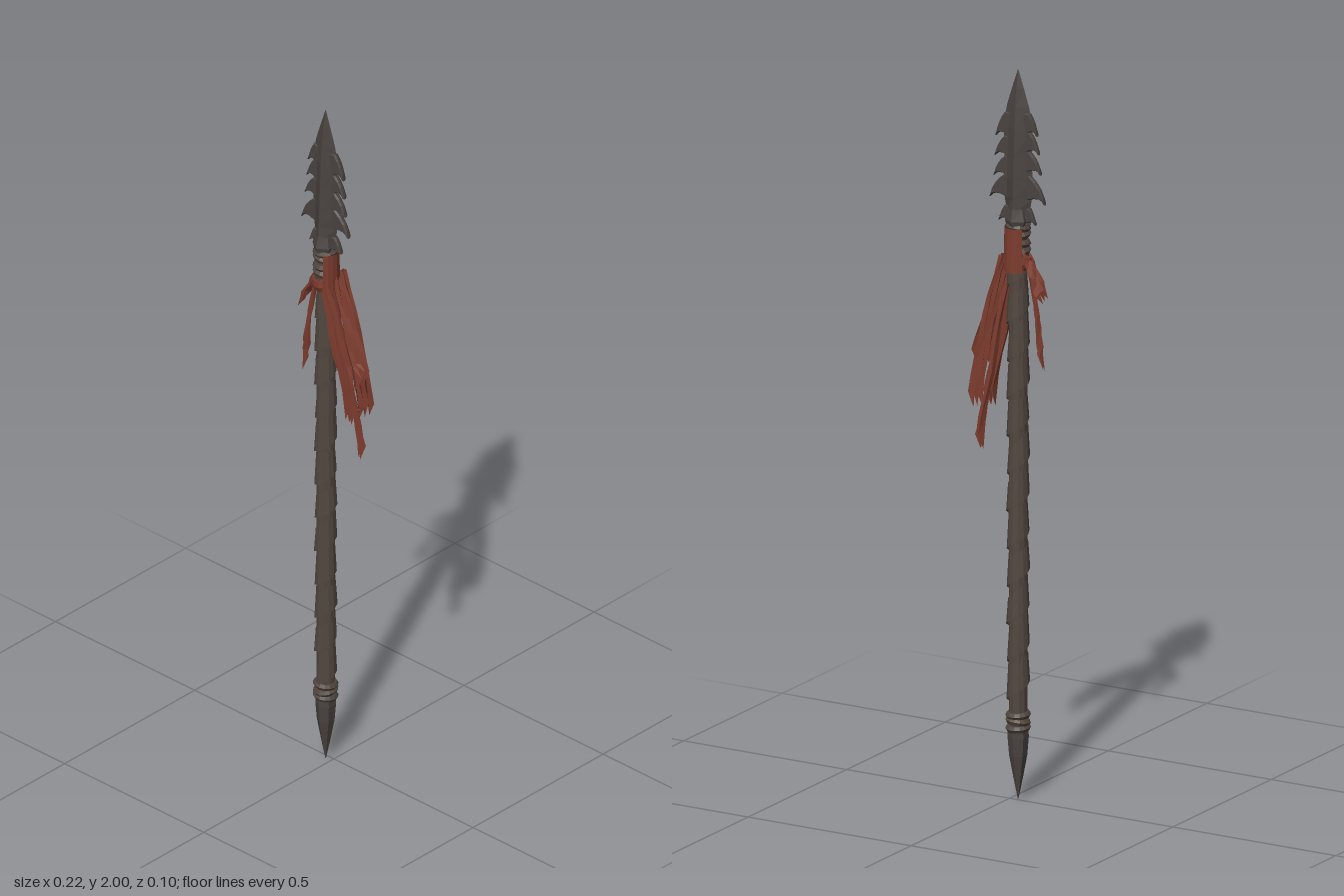
import * as THREE from 'three';

const mat = (name, color, extra = {}) =>
  Object.assign(new THREE.MeshStandardMaterial({ color, flatShading: true, ...extra }), { name });

export function createModel() {
  const root = new THREE.Group();
  root.name = 'barbedSpear';
  const iron = mat('dark iron', 0x4a4340);
  const leather = mat('worn leather', 0x51463f, { side: THREE.DoubleSide });
  const cloth = mat('red cloth', 0x7c3b2d, { side: THREE.DoubleSide });

  // Everything rigid sits on the shaft axis
  const spear = new THREE.Group();
  spear.name = 'spear';
  spear.position.set(-0.02, 0, 0.01);
  root.add(spear);

  const add = (parent, name, geo, material, y = 0) => {
    const m = new THREE.Mesh(geo, material);
    m.name = name;
    m.position.y = y;
    parent.add(m);
    return m;
  };

  // Sides swept through rows of [y, half width, half thickness], top row first
  const loft = (rows, sides) => {
    const n = rows.length - 1;
    const g = new THREE.CylinderGeometry(1, 1, 1, sides, n);
    const p = g.attributes.position;
    for (let i = 0; i < p.count; i++) {
      const [y, w, t] = rows[Math.round((0.5 - p.getY(i)) * n)];
      p.setXYZ(i, p.getX(i) * w, y, p.getZ(i) * t);
    }
    g.computeVertexNormals();
    return g;
  };

  // Blade: diamond section with a raised centre ridge
  add(spear, 'blade', loft([
    [2.0, 0.001, 0.001], [1.95, 0.018, 0.009], [1.9, 0.034, 0.014], [1.84, 0.045, 0.019],
    [1.77, 0.042, 0.022], [1.7, 0.044, 0.025], [1.65, 0.042, 0.027], [1.61, 0.035, 0.03], [1.58, 0.04, 0.033],
  ], 4), iron);
  add(spear, 'bladeSocket', loft([
    [1.69, 0.008, 0.022], [1.62, 0.025, 0.03], [1.59, 0.034, 0.038], [1.575, 0.03, 0.034],
  ], 6), iron);

  // Hooked barbs, slightly uneven from side to side: [tip x, tip y, root height]
  const barb = (side, tx, ty, h) => {
    const s = new THREE.Shape();
    s.moveTo(side * 0.018, ty + h);
    s.lineTo(side * 0.038, ty + h);
    s.quadraticCurveTo(side * (tx - 0.006), ty + h * 0.6, side * tx, ty);
    s.quadraticCurveTo(side * (tx - 0.014), ty + h * 0.32, side * 0.034, ty + h * 0.1);
    s.lineTo(side * 0.018, ty);
    const g = new THREE.ExtrudeGeometry(s, {
      depth: 0.006, curveSegments: 4, bevelEnabled: true,
      bevelThickness: 0.005, bevelSize: 0.003, bevelOffset: -0.003, bevelSegments: 1,
    });
    return g.translate(0, 0, -0.003);
  };
  const barbs = {
    left: [[0.067, 1.81, 0.07], [0.07, 1.755, 0.06], [0.073, 1.7, 0.06], [0.085, 1.64, 0.07], [0.058, 1.58, 0.045]],
    right: [[0.06, 1.825, 0.06], [0.065, 1.775, 0.06], [0.071, 1.72, 0.06], [0.083, 1.64, 0.075], [0.055, 1.58, 0.045]],
  };
  for (const [k, list] of Object.entries(barbs))
    list.forEach((b, i) => add(spear, `${k}Barb${i + 1}`, barb(k === 'left' ? 1 : -1, ...b), iron));

  // Shaft core with an overlapping spiral wrap
  add(spear, 'shaft', new THREE.CylinderGeometry(0.025, 0.025, 1.4, 10), leather, 0.89);
  const turns = 12, y0 = 0.24, pitch = 0.103;
  const wrap = new THREE.PlaneGeometry(1, 1, turns * 12, 2);
  const wp = wrap.attributes.position;
  for (let i = 0; i < wp.count; i++) {
    const u = wp.getX(i) + 0.5, v = wp.getY(i) + 0.5;
    const a = u * turns * Math.PI * 2;
    const r = 0.0305 - 0.005 * v + 0.0012 * Math.sin(a * 1.37);
    const y = y0 + u * turns * pitch + v * (0.085 + 0.015 * Math.sin(a * 0.73));
    wp.setXYZ(i, Math.sin(a) * r, y, Math.cos(a) * r);
  }
  wrap.computeVertexNormals();
  add(spear, 'spiralWrap', wrap, leather);

  // Bound rings at the neck and above the butt
  const ring = (name, y, r, tube, tilt) => {
    const m = add(spear, name, new THREE.TorusGeometry(r, tube, 6, 14).rotateX(Math.PI / 2), leather, y);
    m.rotation.set(tilt, 0, tilt * 0.7);
  };
  [1.505, 1.528, 1.55, 1.57].forEach((y, i) => ring(`neckRing${i + 1}`, y, 0.024, 0.011, i % 2 ? 0.1 : -0.12));
  [0.196, 0.214, 0.232].forEach((y, i) => ring(`buttRing${i + 1}`, y, 0.024, 0.01, i % 2 ? 0.12 : -0.06));

  // Pointed butt
  add(spear, 'buttSpike', loft([
    [0.21, 0.027, 0.027], [0.17, 0.028, 0.028], [0.12, 0.024, 0.024], [0.06, 0.013, 0.013], [0, 0.001, 0.001],
  ], 6), iron);

  // Cloth knot: a slanted band and a tall fold round the back
  const band = add(spear, 'clothBand', new THREE.TorusGeometry(0.028, 0.01, 6, 14).rotateX(Math.PI / 2).scale(1, 2, 1), cloth, 1.475);
  band.rotation.set(0.15, 0, 0.15);
  add(spear, 'clothFold', new THREE.CylinderGeometry(0.036, 0.039, 0.12, 9, 2, true, 0.55, 3.4), cloth, 1.51);

  // Pleated strip along a curve, flaring from w0 to w1, with a torn end
  const strip = (name, pts, w0, w1, angle, tear) => {
    const cols = 6, rows = 7;
    const curve = new THREE.CatmullRomCurve3(pts.map((p) => new THREE.Vector3(...p)));
    const g = new THREE.PlaneGeometry(1, 1, cols, rows);
    const p = g.attributes.position;
    const c = Math.cos(angle), s = Math.sin(angle);
    for (let i = 0; i < p.count; i++) {
      const col = i % (cols + 1), row = Math.floor(i / (cols + 1)), t = row / rows;
      const o = curve.getPoint(t);
      const across = (col / cols - 0.5) * (w0 + (w1 - w0) * t);
      const fold = (col % 2 ? 1 : -1) * (0.003 + 0.004 * t) + 0.003 * Math.sin(row * 1.9 + col);
      const rag = row === rows ? tear * (col % 2 ? 0.9 : -0.5 + 0.3 * Math.sin(col * 2.3)) : 0;
      p.setXYZ(i, o.x + c * across - s * fold, o.y - rag, o.z + s * across + c * fold);
    }
    g.computeVertexNormals();
    add(root, name, g, cloth);
  };
  strip('leftFrontStrip', [[0, 1.5, 0.035], [0.04, 1.38, 0.037], [0.09, 1.2, 0.032]], 0.03, 0.045, 1.0, 0.03);
  strip('leftSideStrip', [[0.012, 1.5, 0], [0.055, 1.36, 0.002], [0.098, 1.21, 0]], 0.045, 0.06, 1.45, 0.03);
  strip('leftBackStrip', [[0, 1.5, -0.02], [0.05, 1.3, -0.028], [0.083, 1.1, -0.033]], 0.04, 0.045, 2.0, 0.03);
  strip('leftLongStrip', [[0, 1.5, 0.01], [0.045, 1.2, -0.01], [0.08, 0.98, -0.023]], 0.045, 0.024, 0.8, 0.03);
  strip('leftInnerStrip', [[-0.005, 1.49, 0.04], [0.03, 1.3, 0.03], [0.062, 1.1, 0]], 0.03, 0.04, 0.4, 0.035);
  strip('rightShortStrip', [[-0.04, 1.51, 0.01], [-0.07, 1.45, 0.01], [-0.097, 1.39, 0.008]], 0.045, 0.08, 1.35, 0.015);
  strip('rightLongStrip', [[-0.04, 1.49, 0.02], [-0.066, 1.35, 0.025], [-0.084, 1.21, 0.02]], 0.035, 0.035, 1.0, 0.03);
  return root;
}
